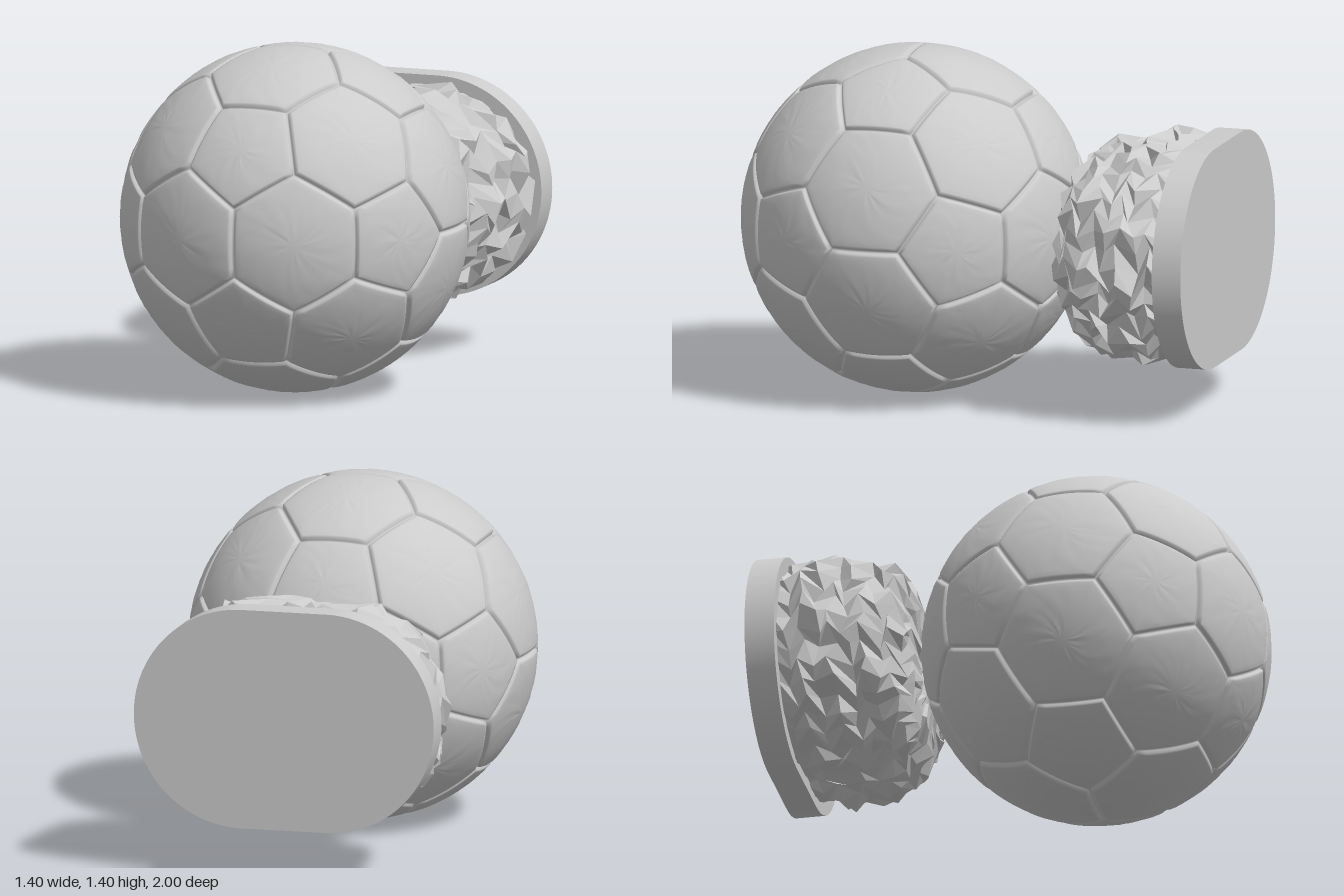
import * as THREE from 'three';
import { mergeVertices, toCreasedNormals } from 'three/addons/utils/BufferGeometryUtils.js';

const material = new THREE.MeshStandardMaterial({ color: 0xcccccc });
const rockMaterial = new THREE.MeshStandardMaterial({ color: 0xcccccc, flatShading: true });

// Small seeded random in [-1, 1]
function seeded(seed) {
  return () => {
    seed = (seed * 16807) % 2147483647;
    return (seed / 2147483647) * 2 - 1;
  };
}

function fromArrays(pos, index) {
  const g = new THREE.BufferGeometry();
  g.setAttribute('position', new THREE.Float32BufferAttribute(pos, 3));
  g.setIndex(index);
  return g;
}

// Panel centres and corners of a truncated icosahedron
function ballPanels() {
  const phi = (1 + Math.sqrt(5)) / 2;
  const v = [];
  for (const a of [-1, 1]) for (const b of [-phi, phi]) {
    v.push(new THREE.Vector3(0, a, b), new THREE.Vector3(a, b, 0), new THREE.Vector3(b, 0, a));
  }
  const near = (p, q) => p !== q && p.distanceTo(q) < 2.1;
  const corners = [], normals = v.map(p => p.clone().normalize());
  v.forEach((p, i) => v.forEach((q, j) => {
    if (!near(p, q)) return;
    corners.push(p.clone().lerp(q, 1 / 3));
    v.forEach((r, k) => {
      if (i < j && j < k && near(p, r) && near(q, r)) normals.push(p.clone().add(q).add(r).normalize());
    });
  }));
  return normals.map(n => {
    const top = Math.max(...corners.map(c => c.dot(n)));
    const own = corners.filter(c => c.dot(n) > top - 0.01);
    const centre = n.clone().multiplyScalar(top);
    const ex = own[0].clone().sub(centre).normalize();
    const ey = n.clone().cross(ex);
    const angle = c => Math.atan2(c.dot(ey), c.dot(ex));
    own.sort((a, b) => angle(a) - angle(b));
    return { centre, corners: own };
  });
}

// Puffed panels that sink into a narrow groove at every seam
function ballGeometry() {
  const rnd = seeded(77), steps = 8, pos = [], index = [];
  const rings = [[0, 0.7], [0.18, 0.7], [0.36, 0.7], [0.54, 0.7], [0.7, 0.7], [0.83, 0.6995],
    [0.91, 0.699], [0.95, 0.697], [0.975, 0.686], [1, 0.681]];
  for (const { centre, corners } of ballPanels()) {
    const n = corners.length * steps, base = pos.length / 3;
    rings.forEach(([t, r], k) => {
      for (let j = 0; j < n; j++) {
        const s = Math.floor(j / steps);
        const p = corners[s].clone().lerp(corners[(s + 1) % corners.length], (j % steps) / steps);
        const dent = k > 0 && k < 6 ? rnd() * 0.0012 : 0;
        p.lerp(centre, 1 - t).setLength(r + dent);
        pos.push(p.x, p.y, p.z);
      }
    });
    for (let k = 0; k < rings.length - 1; k++) for (let j = 0; j < n; j++) {
      const j2 = (j + 1) % n;
      const a = base + k * n + j, d = base + k * n + j2, b = a + n, c = d + n;
      index.push(a, b, c);
      if (k > 0) index.push(a, c, d);
    }
  }
  const g = mergeVertices(fromArrays(pos, index), 1e-4);
  g.computeVertexNormals();
  return g;
}

const HALF = 0.175, RADIUS = 0.446; // stadium: half straight length and end radius

// Point on the stadium outline, u in [0, 1), counter-clockwise from the right end
function stadiumPoint(u) {
  const arc = Math.PI * RADIUS, straight = 2 * HALF;
  let s = (((u % 1) + 1) % 1) * 2 * (arc + straight) + arc / 2;
  const side = s >= arc + straight && s < 2 * (arc + straight) ? -1 : 1;
  s %= arc + straight;
  const a = s / RADIUS - Math.PI / 2;
  const p = s < arc
    ? [HALF + RADIUS * Math.cos(a), RADIUS * Math.sin(a)]
    : [HALF - (s - arc), RADIUS];
  return [p[0] * side, p[1] * side];
}

// Jagged rock: jittered stadium rings closing towards the ball
function rockGeometry() {
  const rnd = seeded(4242), n = 46, pos = [], index = [];
  const rings = [[0.91, -0.9], [0.92, -0.84], [0.94, -0.78], [0.94, -0.72], [0.92, -0.66], [0.9, -0.6],
    [0.87, -0.54], [0.83, -0.485], [0.75, -0.44], [0.63, -0.405], [0.48, -0.385], [0.3, -0.38], [0.12, -0.385]];
  rings.forEach(([s, z], k) => {
    const j0 = k === 0 ? 0 : 0.036 * Math.min(1, s + 0.2);
    for (let j = 0; j < n; j++) {
      const [x, y] = stadiumPoint((j + (k % 2) / 2 + rnd() * 0.25) / n);
      const swell = s + rnd() * j0 * 1.9;
      pos.push(x * swell, y * swell, z + rnd() * j0 * 0.7);
    }
  });
  for (let k = 0; k < rings.length - 1; k++) for (let j = 0; j < n; j++) {
    const j2 = (j + 1) % n;
    const a = k * n + j, b = k * n + j2, c = b + n, d = a + n;
    if (k % 2) index.push(a, b, d, b, c, d);
    else index.push(a, b, c, a, c, d);
  }
  // cap
  const last = (rings.length - 1) * n, tip = pos.length / 3;
  pos.push(0, 0, -0.385);
  for (let j = 0; j < n; j++) index.push(last + j, last + ((j + 1) % n), tip);
  const g = fromArrays(pos, index).toNonIndexed();
  g.computeVertexNormals();
  return g;
}

// Smooth stadium-shaped plate
function plateGeometry() {
  const shape = new THREE.Shape();
  shape.absarc(HALF, 0, RADIUS, -Math.PI / 2, Math.PI / 2, false);
  shape.absarc(-HALF, 0, RADIUS, Math.PI / 2, Math.PI * 1.5, false);
  shape.closePath();
  const g = new THREE.ExtrudeGeometry(shape, { depth: 0.12, bevelEnabled: false, curveSegments: 32 });
  return toCreasedNormals(g, 0.5);
}

export function createModel() {
  const model = new THREE.Group();
  const add = (name, geometry, mat, x, y, z) => {
    const mesh = new THREE.Mesh(geometry, mat);
    mesh.name = name;
    mesh.position.set(x, y, z);
    model.add(mesh);
  };
  add('ball', ballGeometry(), material, 0, 0.7, 0.3);
  add('rock', rockGeometry(), rockMaterial, -0.025, 0.648, 0);
  add('basePlate', plateGeometry(), material, -0.025, 0.648, -1);
  return model;
}
